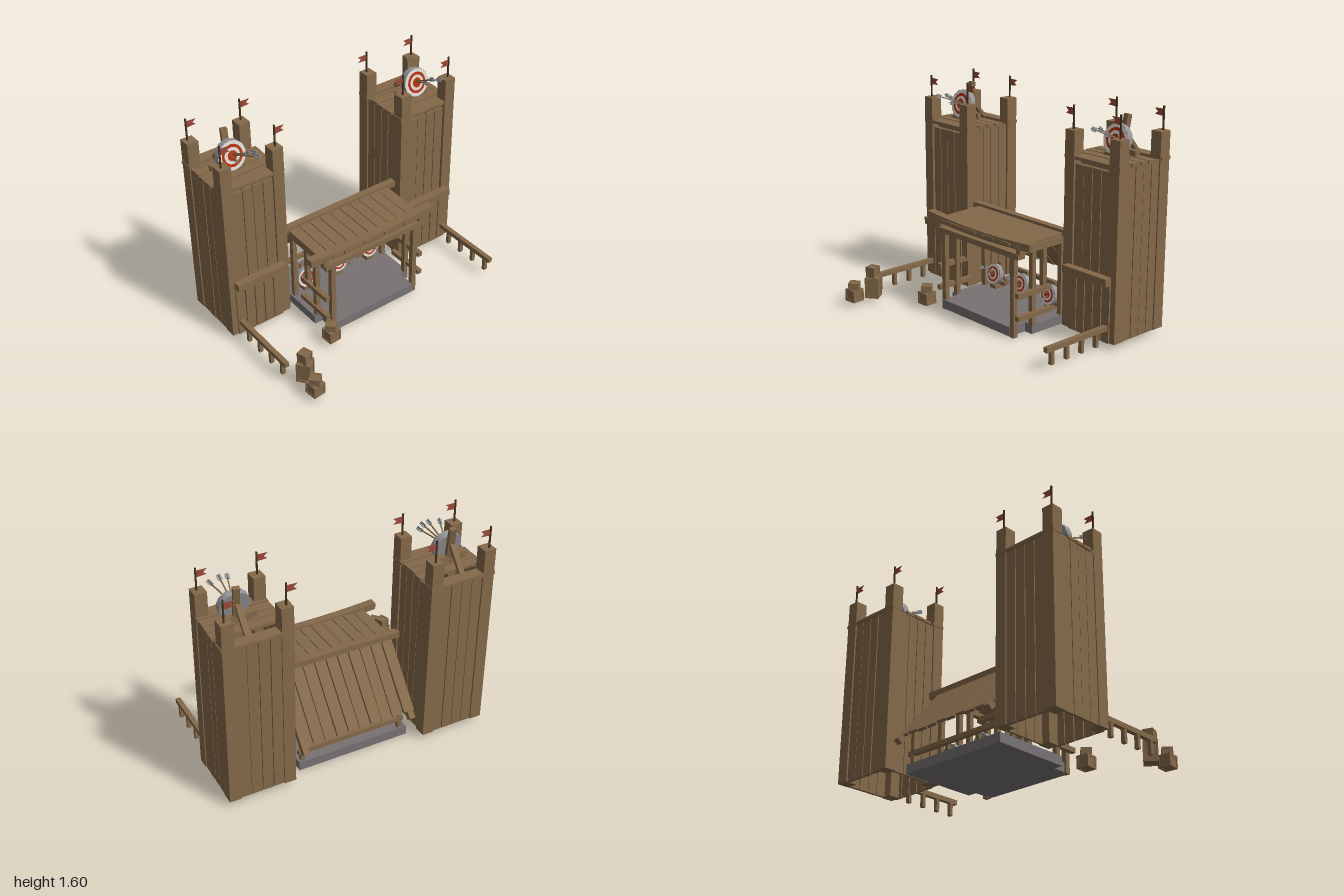
import * as THREE from 'three';

const mat = (name, color) => {
  const m = new THREE.MeshStandardMaterial({ color });
  m.name = name;
  return m;
};
const wood = mat('wood', 0x84694a);
const stone = mat('stone', 0x787273);
const straw = mat('target rim grey', 0x97979a);
const white = mat('target white', 0xd9d6d2);
const red = mat('target red', 0xb5300f);
const flagRed = mat('flag red', 0x9c4a3a);
flagRed.side = THREE.DoubleSide;
const dark = mat('dark wood', 0x46331f);
const fletch = mat('fletching grey', 0x8d9496);

let seed = 7;
const rnd = () => ((seed = (seed * 16807) % 2147483647) / 2147483647) - 0.5;

function add(parent, name, geo, material) {
  const m = new THREE.Mesh(geo, material);
  m.name = name;
  parent.add(m);
  return m;
}
// Box given by its limits on each axis
function box(parent, name, x0, x1, y0, y1, z0, z1, material = wood) {
  const m = add(parent, name, new THREE.BoxGeometry(Math.abs(x1 - x0), y1 - y0, Math.abs(z1 - z0)), material);
  m.position.set((x0 + x1) / 2, (y0 + y1) / 2, (z0 + z1) / 2);
  return m;
}
// Square timber running from point a to point b
function beam(parent, name, a, b, w, h, material = wood) {
  const p = new THREE.Vector3(...a), q = new THREE.Vector3(...b);
  const m = new THREE.Mesh(new THREE.BoxGeometry(w, h, p.distanceTo(q)), material);
  m.name = name;
  m.position.copy(p).add(q).multiplyScalar(0.5);
  m.lookAt(q);
  parent.add(m);
  return m;
}

// Round target facing +z, centred on its own origin, with arrows stuck in it
function target(parent, r, arrows, len) {
  const g = new THREE.Group();
  g.name = 'target';
  parent.add(g);
  const t = r * 0.45;
  add(g, 'targetBody', new THREE.CylinderGeometry(r, r, t, 12).rotateX(Math.PI / 2), straw);
  [[0.96, white], [0.74, red], [0.55, white], [0.34, red]].forEach(([k, m], i) => {
    add(g, 'targetRing', new THREE.CircleGeometry(r * k, 16), m).position.z = t / 2 + 0.0015 * (i + 1);
  });
  for (const [dx, dy] of arrows) {
    const tip = new THREE.Vector3(dx * 0.15, dy * 0.15, t / 2);
    const end = new THREE.Vector3(dx, dy, t / 2 + len);
    const w = r * 0.07;
    beam(g, 'arrowShaft', tip.toArray(), end.toArray(), w, w);
    const f = tip.clone().lerp(end, 0.8);
    beam(g, 'arrowFletching', f.toArray(), end.toArray(), r * 0.28, 0.004, fletch);
    beam(g, 'arrowFletching', f.toArray(), end.toArray(), 0.004, r * 0.28, fletch);
  }
  return g;
}

// Crate with raised edge bars
function crate(parent, x, y, z, s, h, turn) {
  const g = new THREE.Group();
  g.name = 'crate';
  g.position.set(x, y, z);
  g.rotation.y = turn;
  parent.add(g);
  const a = s / 2, w = s * 0.15, i = a - s * 0.05;
  box(g, 'cratePanels', -i, i, 0.004, h - 0.004, -i, i);
  for (const u of [-1, 1]) for (const v of [-1, 1]) {
    box(g, 'crateUpright', u * a, u * (a - w), 0, h, v * a, v * (a - w));
    const y0 = u < 0 ? 0 : h - w;
    box(g, 'crateBar', -a + w, a - w, y0, y0 + w, v * a, v * (a - w));
    box(g, 'crateBar', v * a, v * (a - w), y0, y0 + w, -a + w, a - w);
  }
}

function flag(parent, x, z, s) {
  box(parent, 'flagPole', x - 0.005, x + 0.005, 1.44, 1.605, z - 0.005, z + 0.005, dark);
  const sh = new THREE.Shape();
  [[0, 1.535], [0.075, 1.54], [0.052, 1.56], [0.078, 1.583], [0, 1.585]].forEach(([u, v], i) =>
    i ? sh.lineTo(s * u, v) : sh.moveTo(0, v));
  add(parent, 'flag', new THREE.ShapeGeometry(sh), flagRed).position.set(x, 0, z);
}

function tower(root, s) {
  const g = new THREE.Group();
  g.name = s > 0 ? 'leftTower' : 'rightTower';
  root.add(g);
  // Corner posts and flags
  for (const [x0, x1] of [[0.503, 0.588], [0.906, 0.992]])
    for (const [z0, z1] of [[-0.268, -0.18], [-0.668, -0.578]]) {
      box(g, 'cornerPost', s * x0, s * x1, 0.05, 1.443, z0, z1);
      flag(g, s * (x0 < 0.6 ? 0.54 : 0.957), z0 > -0.4 ? -0.22 : -0.635, -s);
    }
  // Plank walls
  const n = 4;
  for (let i = 0; i < n; i++) {
    const d = () => 0.004 + rnd() * 0.005;
    const x0 = 0.587 + i * 0.08, x1 = x0 + 0.08;
    box(g, 'frontPlank', s * (x0 + 0.001), s * (x1 - d()), 0.46, 1.22, -0.215, -0.195);
    box(g, 'backPlank', s * (x0 + 0.001), s * (x1 - d()), 0.05, 1.255, -0.655 - d(), -0.635);
    const z0 = -0.268 - i * 0.0775, z1 = z0 - 0.0775;
    box(g, 'outerPlank', s * 0.965, s * (0.983 + d()), 0.05, 1.255 + rnd() * 0.01, z0 - 0.001, z1 + d());
    box(g, 'innerPlank', s * 0.513, s * 0.53, 0.05, 1.255 + rnd() * 0.01, z0 - 0.001, z1 + d());
  }
  for (let i = 0; i < 5; i++) {
    const x0 = 0.572 + i * 0.077;
    box(g, 'lowerFrontPlank', s * x0, s * (x0 + 0.069), 0.05, 0.48, -0.188, -0.168).rotation.z = rnd() * 0.02;
  }
  box(g, 'frontCrossbeam', s * 0.55, s * 0.95, 0.46, 0.515, -0.185, -0.125);
  // Platform with its bearers
  for (const z of [-0.275, -0.6]) box(g, 'platformBearer', s * 0.53, s * 0.97, 1.215, 1.25, z, z + 0.03);
  [[-0.672, -0.585], [-0.527, -0.458], [-0.447, -0.385], [-0.375, -0.302], [-0.288, -0.182]].forEach(([z0, z1]) =>
    box(g, 'platformPlank', s * (0.502 + rnd() * 0.01), s * (0.995 + rnd() * 0.01), 1.25, 1.272, z0, z1)
      .rotation.z = rnd() * 0.01);
  // Large target on its easel
  const x = s * 0.785;
  const t = target(g, 0.108, s > 0
    ? [[-0.05, 0.045], [0.01, 0.055], [0.08, 0.03]]
    : [[-0.07, 0.03], [0.03, 0.05], [0.08, 0.04], [0.1, 0.0]], 0.19);
  t.position.set(x, 1.388, -0.385);
  t.rotation.x = -0.24;
  beam(g, 'easelPost', [x, 1.27, -0.42], [x + 0.01, 1.55, -0.467], 0.045, 0.035);
  beam(g, 'easelBrace', [x, 1.425, -0.455], [x, 1.265, -0.59], 0.04, 0.025);
  box(g, 'easelCrossbar', x - 0.135, x + 0.135, 1.29, 1.33, -0.445, -0.41);
  box(g, 'easelFoot', x - 0.1, x + 0.1, 1.272, 1.292, -0.44, -0.36);
  // Low fence running forward
  box(g, 'fenceRail', s * 0.905, s * 0.94, 0.14, 0.175, -0.18, 0.39);
  for (let i = 0; i < 4; i++) {
    const z = 0.335 - i * 0.137;
    box(g, 'fencePost', s * 0.908, s * 0.937, 0.045, 0.14, z - 0.013, z + 0.013);
  }
}

function shed(root) {
  const g = new THREE.Group();
  g.name = 'shed';
  root.add(g);
  box(g, 'floorSlab', -0.435, 0.42, 0.01, 0.078, -0.555, 0.03, stone);
  box(g, 'floorSlabFront', -0.37, 0.35, 0.01, 0.078, 0.03, 0.175, stone);
  for (const s of [-1, 1]) {
    // Posts, rails and rafters of one side
    box(g, 'frontPost', s * 0.345, s * 0.383, 0.003, 0.62, 0.131, 0.168);
    box(g, 'middlePost', s * 0.385, s * 0.42, 0.06, 0.63, -0.005, 0.03);
    box(g, 'rearSidePost', s * 0.385, s * 0.42, 0.33, 0.63, -0.107, -0.072);
    box(g, 'ridgePost', s * 0.385, s * 0.42, 0.06, 0.66, -0.28, -0.245);
    box(g, 'backPost', s * 0.37, s * 0.4, 0.06, 0.36, -0.54, -0.51);
    for (const y of [0.305, 0.14]) box(g, 'sideRail', s * 0.4, s * 0.435, y, y + 0.035, -0.14, 0.17);
    box(g, 'sideRoofBeam', s * 0.4, s * 0.44, 0.618, 0.665, -0.27, 0.165);
    beam(g, 'rafter', [s * 0.415, 0.63, -0.27], [s * 0.415, 0.215, -0.645], 0.045, 0.045);
  }
  box(g, 'backRail', -0.41, 0.42, 0.137, 0.17, -0.545, -0.515);
  box(g, 'frontLintel', -0.43, 0.43, 0.582, 0.622, 0.11, 0.172);
  // Flat front roof and steep back roof
  const w = 0.0882;
  for (let i = 0; i < 10; i++) {
    const x = -0.45 + w * (i + 0.5), pw = w - 0.005 + rnd() * 0.004;
    beam(g, 'roofPlank', [x, 0.67, 0.17 + rnd() * 0.008], [x + rnd() * 0.004, 0.68, -0.26], pw, 0.02);
    beam(g, 'slopePlank', [x, 0.69, -0.26], [x + rnd() * 0.006, 0.262 + rnd() * 0.01, -0.615], pw - 0.003, 0.02);
  }
  box(g, 'ridgeBeam', -0.51, 0.51, 0.665, 0.71, -0.292, -0.24);
  // Sagging front beam
  const geo = new THREE.BoxGeometry(1.075, 0.052, 0.06, 8, 1, 1);
  const p = geo.attributes.position;
  for (let i = 0; i < p.count; i++) p.setY(i, p.getY(i) + 0.022 * (p.getX(i) / 0.54) ** 2);
  geo.computeVertexNormals();
  add(g, 'saggingFrontBeam', geo.toNonIndexed(), wood).position.set(-0.007, 0.665, 0.134);
  // Small targets on low stands
  [-0.3, -0.01, 0.28].forEach((x, i) => {
    const t = target(g, 0.077, [[-0.03 + 0.02 * i, 0.05], [0.025, 0.06], [0.06, 0.015 - 0.02 * i]], 0.11);
    t.position.set(x, 0.187, -0.27);
    t.rotation.x = -0.22;
    beam(g, 'standPost', [x, 0.08, -0.285], [x, 0.27, -0.325], 0.03, 0.022);
    beam(g, 'standBrace', [x, 0.2, -0.31], [x, 0.08, -0.41], 0.025, 0.018);
    box(g, 'standCrossbar', x - 0.09, x + 0.09, 0.108, 0.135, -0.315, -0.29);
    box(g, 'standFoot', x - 0.03, x + 0.03, 0.078, 0.108, -0.33, -0.25);
  });
}

export function createModel() {
  const root = new THREE.Group();
  root.name = 'archeryRange';
  tower(root, 1);
  tower(root, -1);
  shed(root);
  // Stacked crates
  crate(root, -0.853, 0.045, 0.617, 0.095, 0.09, 0.08);
  crate(root, -0.853, 0.135, 0.617, 0.075, 0.052, 0.7);
  crate(root, -0.828, 0.045, 0.465, 0.1, 0.155, 0.65);
  crate(root, -0.828, 0.2, 0.465, 0.075, 0.08, 0.3);
  crate(root, -0.455, 0.045, 0.255, 0.095, 0.09, 0.05);
  crate(root, -0.455, 0.135, 0.255, 0.075, 0.052, 0.75);
  return root;
}
